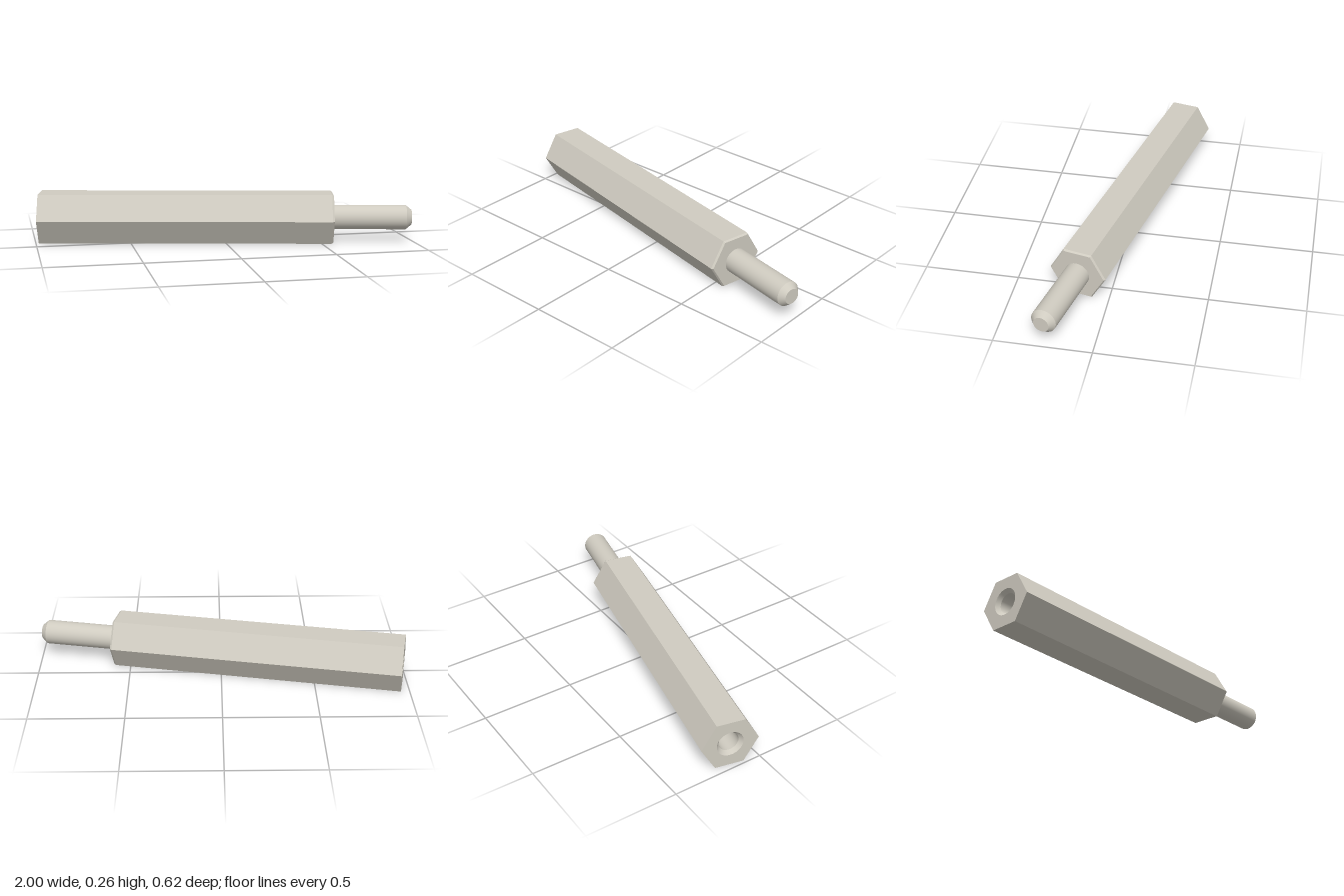
import * as THREE from 'three';
import { mergeGeometries } from 'three/addons/utils/BufferGeometryUtils.js';

const HEX_R = 0.1524;        // corner radius of the hexagon
const BODY = 1.58;           // body length
const PIN_R = 0.066, PIN_END = 2.003;
const BORE_R = 0.053, SINK_R = 0.071, BORE_DEPTH = 0.42;

// Turned surface along +x; each profile segment is separate so its edges stay sharp
function turned(profile, sides) {
  const parts = [];
  for (let i = 0; i < profile.length - 1; i++) {
    const pair = [profile[i], profile[i + 1]].map(([r, x]) => new THREE.Vector2(r, x));
    parts.push(new THREE.LatheGeometry(pair, sides));
  }
  return mergeGeometries(parts).rotateZ(-Math.PI / 2);
}

export function createModel() {
  const metal = new THREE.MeshStandardMaterial({ color: 0xcfcbc0 });
  metal.name = 'pale metal';
  const model = new THREE.Group();
  model.name = 'hexStandoff';
  const add = (name, geometry) => {
    const mesh = new THREE.Mesh(geometry, metal);
    mesh.name = name;
    model.add(mesh);
  };

  // Six-sided body with a small bevel at the pin end
  const hex = turned([[HEX_R, 0], [HEX_R, BODY - 0.01], [HEX_R - 0.007, BODY], [0, BODY]], 6).toNonIndexed();
  hex.computeVertexNormals();
  add('hexBody', hex);

  // Rear face, open around the bore
  const corners = [];
  for (let i = 0; i < 6; i++) {
    const a = i * Math.PI / 3;
    corners.push(new THREE.Vector2(HEX_R * Math.cos(a), HEX_R * Math.sin(a)));
  }
  const face = new THREE.Shape(corners);
  face.holes.push(new THREE.Path().absarc(0, 0, SINK_R, 0, Math.PI * 2, true));
  add('rearFace', new THREE.ShapeGeometry(face, 24).rotateY(-Math.PI / 2));

  // Countersunk blind bore, facing inwards
  add('bore', turned([[0, BORE_DEPTH], [BORE_R, BORE_DEPTH], [BORE_R, 0.02], [SINK_R, 0]], 48));

  // Round pin with a chamfered tip
  add('pin', turned([[PIN_R, BODY - 0.01], [PIN_R, PIN_END - 0.03], [0.041, PIN_END], [0, PIN_END]], 48));

  // Lay the part diagonally across the ground
  model.rotation.y = -THREE.MathUtils.degToRad(12);
  model.position.set(-0.969, 0.132, -0.163);
  const root = new THREE.Group();
  root.name = 'standoff';
  root.add(model);
  return root;
}
